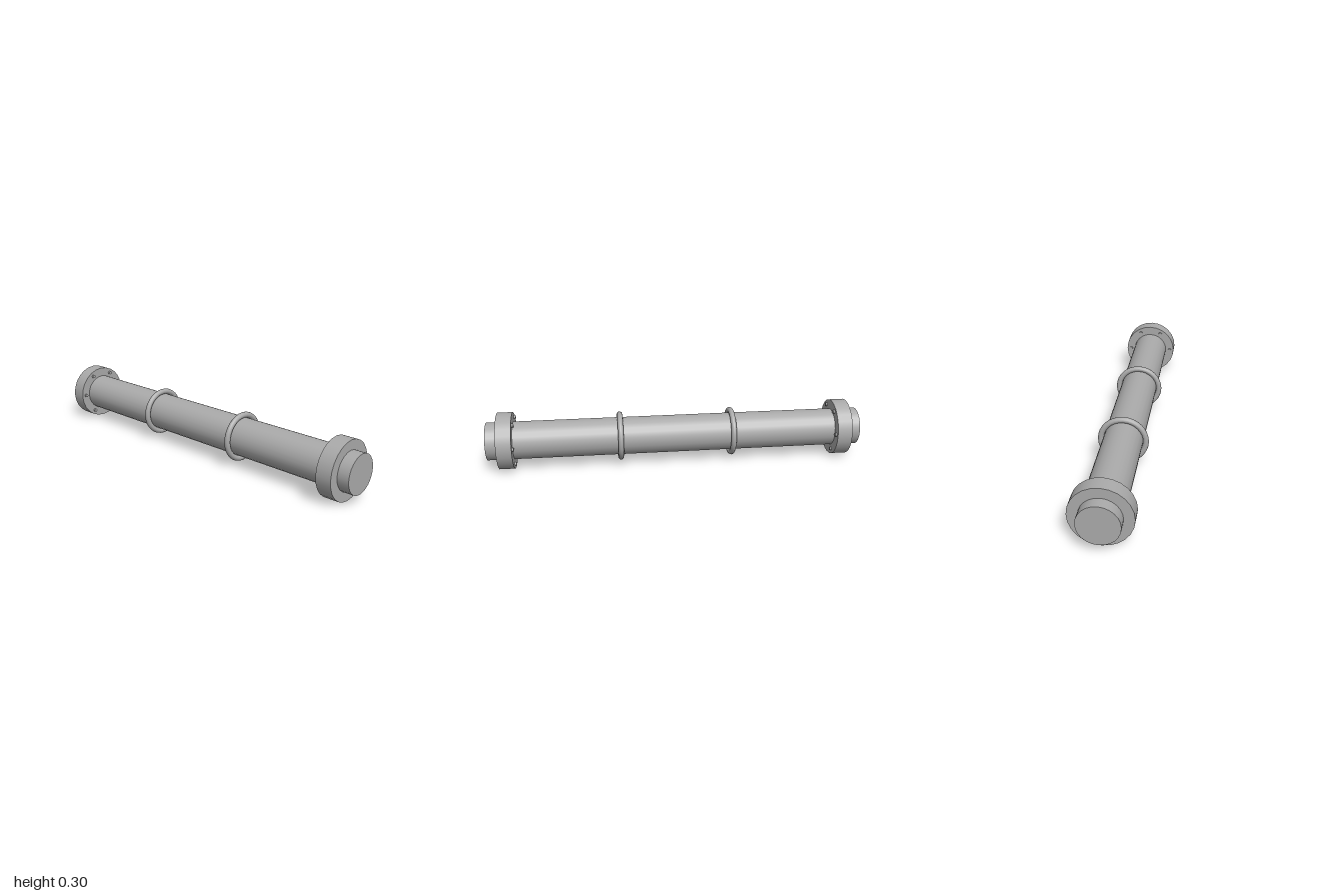
import * as THREE from 'three';

export function createModel() {
  const model = new THREE.Group();
  model.name = 'flangedPipe';
  const steel = new THREE.MeshStandardMaterial({ color: 0xaaaaaa });
  steel.name = 'grey steel';
  const axisHeight = 0.15;

  function add(name, geometry, x, y, z) {
    const mesh = new THREE.Mesh(geometry, steel);
    mesh.name = name;
    mesh.position.set(x, axisHeight + y, z);
    model.add(mesh);
  }

  // Cylinder lying along z
  const rod = (radius, length, sides) =>
    new THREE.CylinderGeometry(radius, radius, length, sides).rotateX(Math.PI / 2);

  add('pipe', rod(0.1, 2, 24), 0, 0, 0);

  const flange = rod(0.15, 0.08, 24);
  const ring = new THREE.TorusGeometry(0.115, 0.015, 12, 32);
  const bolt = rod(0.01, 0.03, 8);

  for (const side of [1, -1]) {
    const end = side > 0 ? 'front' : 'back';
    add(end + 'Flange', flange, 0, 0, side * 0.9);
    add(end + 'Ring', ring, 0, 0, side * 0.3);

    // Six bolt heads on the inner face of each flange
    for (let i = 0; i < 6; i++) {
      const a = (i * Math.PI) / 3;
      add(end + 'Bolt' + (i + 1), bolt, 0.125 * Math.cos(a), 0.125 * Math.sin(a), side * 0.865);
    }
  }
  return model;
}
